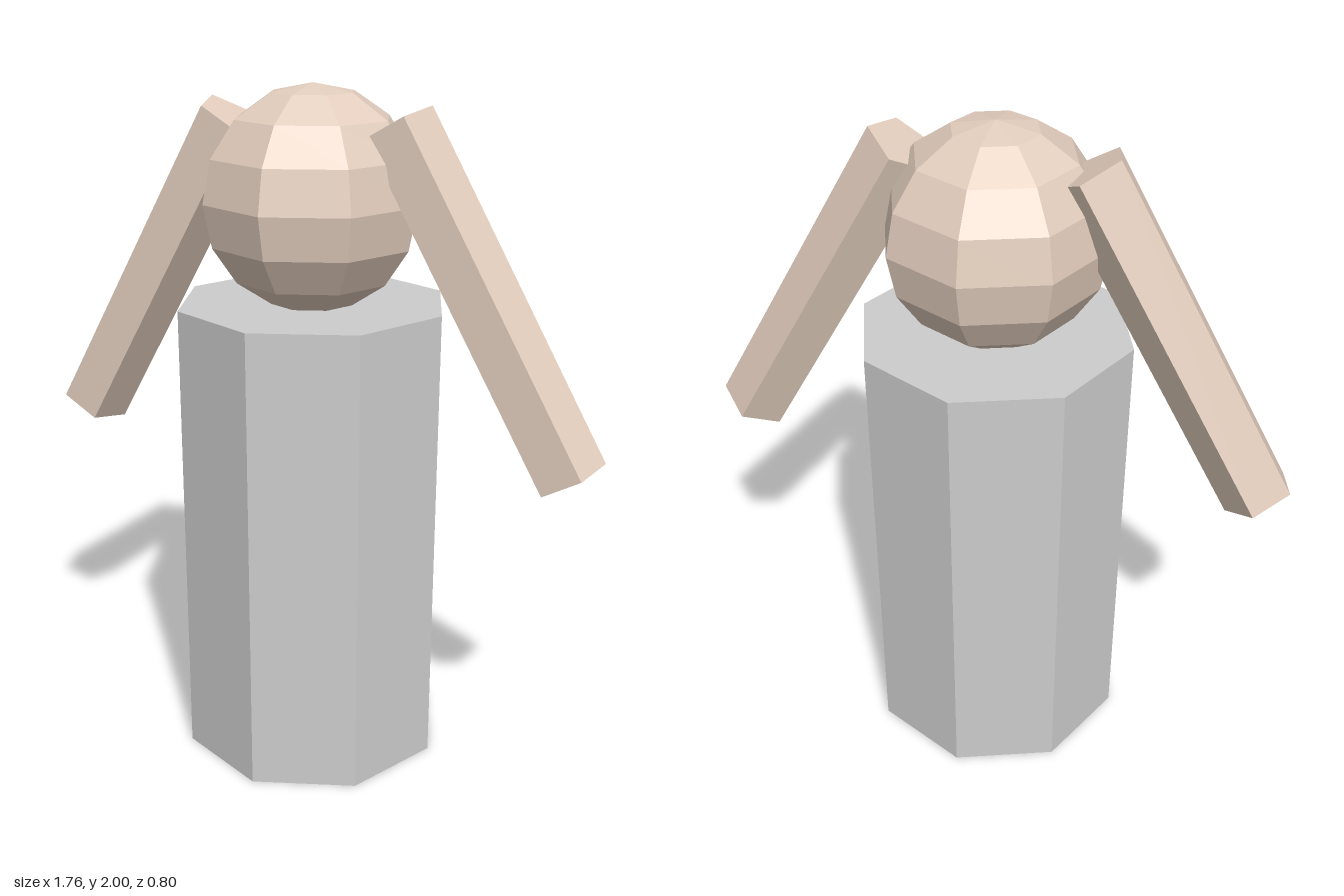
import * as THREE from 'three';

export function createModel() {
  const model = new THREE.Group();
  model.name = 'figure';

  const grey = new THREE.MeshStandardMaterial({ color: 0xcccccc, flatShading: true });
  grey.name = 'light grey';
  const skin = new THREE.MeshStandardMaterial({ color: 0xe2cdbd, flatShading: true });
  skin.name = 'pale skin';

  function addPart(name, geometry, material, x, y) {
    const mesh = new THREE.Mesh(geometry, material);
    mesh.name = name;
    mesh.position.set(x, y, 0);
    model.add(mesh);
    return mesh;
  }

  // Octagonal body with a faceted head sunk slightly into its top
  const bodyHeight = 1.386;
  addPart('body', new THREE.CylinderGeometry(0.4, 0.4, bodyHeight, 8), grey, 0, bodyHeight / 2);
  addPart('head', new THREE.SphereGeometry(0.32, 8, 8), skin, 0, 1.68);

  // Five-sided arms, flat side forward, sloping outwards from the head
  const armGeometry = new THREE.CylinderGeometry(0.106, 0.106, 1.074, 5, 1, false, Math.PI);
  for (const [name, side] of [['leftArm', 1], ['rightArm', -1]]) {
    const arm = addPart(name, armGeometry, skin, side * 0.5225, 1.435);
    arm.rotation.z = side * Math.PI / 6;
  }

  return model;
}
